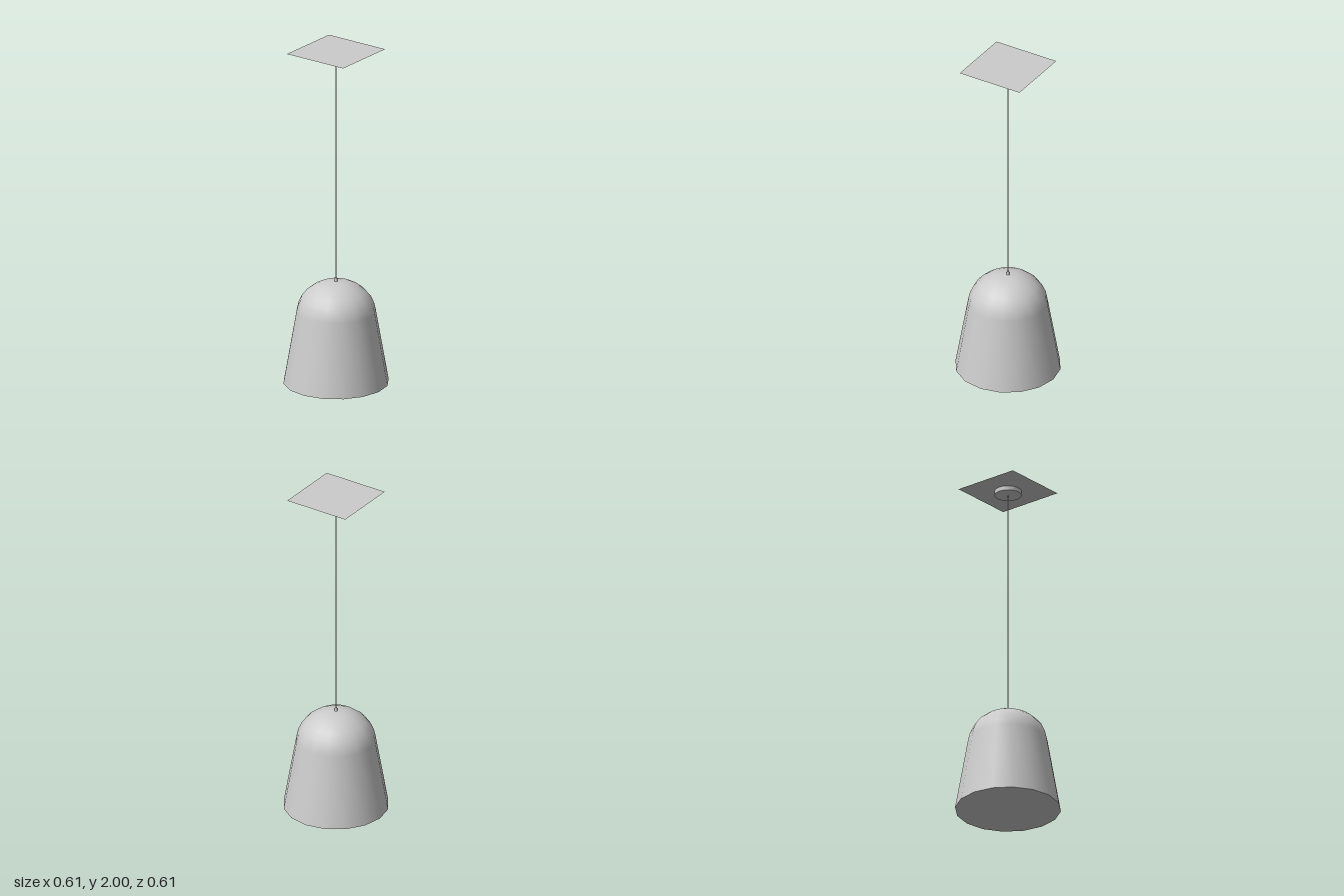
import * as THREE from 'three';

export function createModel() {
  const model = new THREE.Group();
  const grey = new THREE.MeshStandardMaterial({ color: 0xcccccc });
  const thin = new THREE.MeshStandardMaterial({ color: 0xcccccc, side: THREE.DoubleSide });

  function add(name, geometry, y, material = grey) {
    const mesh = new THREE.Mesh(geometry, material);
    mesh.name = name;
    mesh.position.y = y;
    model.add(mesh);
    return mesh;
  }

  // Flared bell shade with a domed top, sixteen sides
  const profile = [
    [0.303, 0], [0.228, 0.43], [0.219, 0.467], [0.2, 0.509], [0.17, 0.545],
    [0.13, 0.576], [0.088, 0.596], [0.045, 0.606], [0, 0.609],
  ].map(([r, y]) => new THREE.Vector2(r, y));
  add('shade', new THREE.LatheGeometry(profile, 16), 0, thin);

  // Flat disc closing the mouth of the shade
  const disc = new THREE.CircleGeometry(0.303, 16);
  disc.rotateX(Math.PI / 2);
  add('shadeBottom', disc, 0, thin);

  // Small grip where the cord enters the shade
  add('cordGrip', new THREE.CylinderGeometry(0.006, 0.011, 0.026, 12), 0.617);

  // Hanging cord
  add('cord', new THREE.CylinderGeometry(0.004, 0.004, 1.36, 8), 1.3);

  // Round ceiling canopy under a thin square ceiling plate
  add('canopy', new THREE.CylinderGeometry(0.077, 0.077, 0.025, 24), 1.986);
  const plate = new THREE.PlaneGeometry(0.4, 0.4);
  plate.rotateX(-Math.PI / 2);
  add('ceilingPlate', plate, 2, thin);

  return model;
}
